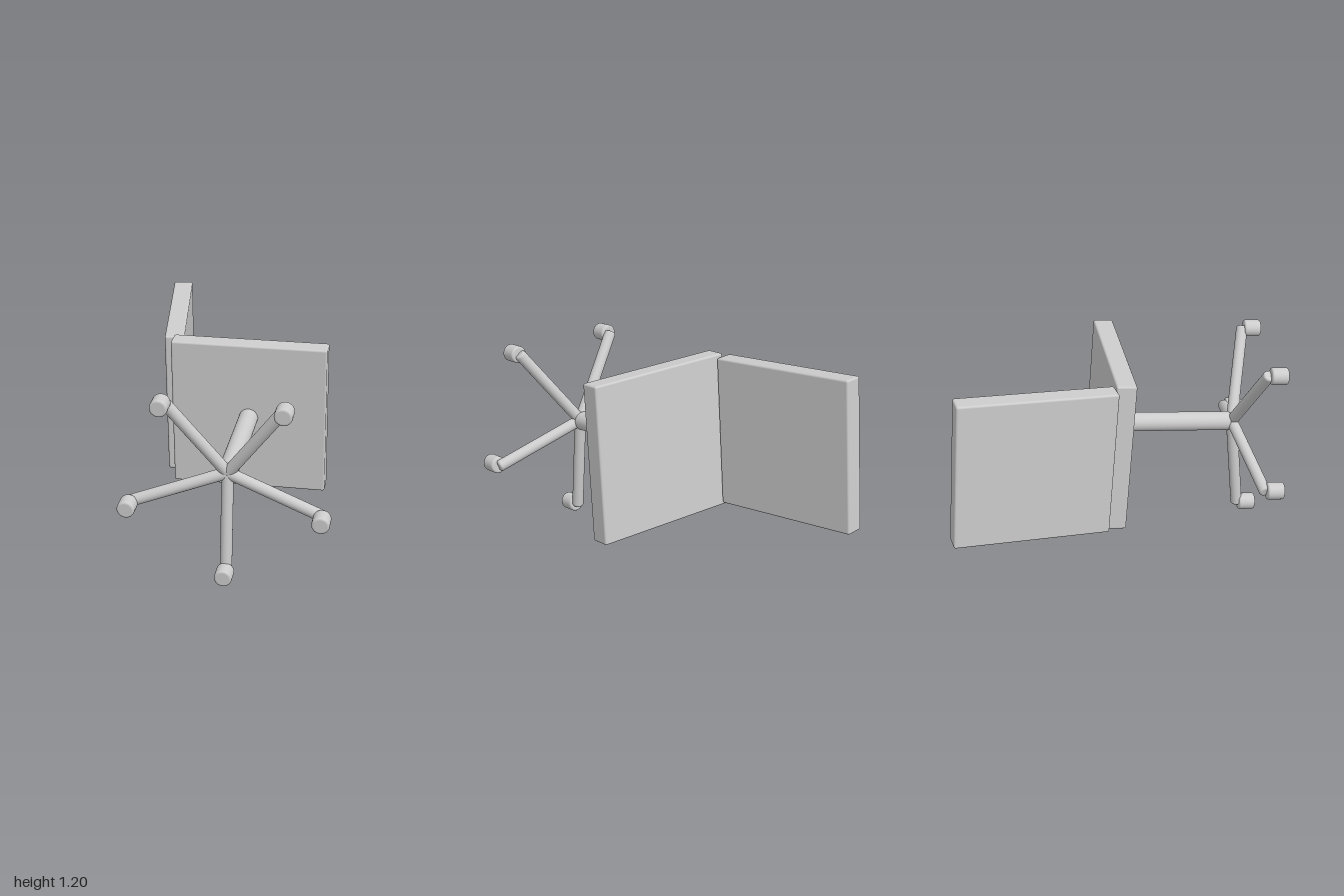
import * as THREE from 'three';
import { RoundedBoxGeometry } from 'three/addons/geometries/RoundedBoxGeometry.js';

const BEVEL = 0.012;
const grey = new THREE.MeshStandardMaterial({ color: 0xcccccc });
grey.name = 'light grey';

function part(name, geometry, parent) {
  const mesh = new THREE.Mesh(geometry, grey);
  mesh.name = name;
  parent.add(mesh);
  return mesh;
}

// Upright cylinder with softly rounded rims
function softCylinder(radius, length) {
  const half = length / 2;
  const points = [new THREE.Vector2(0, -half), new THREE.Vector2(radius - BEVEL - 0.002, -half)];
  for (const side of [-1, 1]) {
    if (side > 0) points.push(new THREE.Vector2(radius, half - BEVEL - 0.002));
    for (let i = 0; i <= 4; i++) {
      const a = (side < 0 ? i - 4 : i) * Math.PI / 8;
      points.push(new THREE.Vector2(
        radius - BEVEL + BEVEL * Math.cos(a),
        side * (half - BEVEL) + BEVEL * Math.sin(a)));
    }
    if (side < 0) points.push(new THREE.Vector2(radius, -half + BEVEL + 0.002));
  }
  points.push(new THREE.Vector2(radius - BEVEL - 0.002, half), new THREE.Vector2(0, half));
  return new THREE.LatheGeometry(points, 32);
}

export function createModel() {
  const model = new THREE.Group();
  model.name = 'officeChair';

  // Chair is built upright, with the middle of the seat underside at its origin
  const chair = new THREE.Group();
  chair.name = 'tippedChair';
  model.add(chair);

  // Seat and reclined backrest
  part('seat', new RoundedBoxGeometry(0.915, 0.115, 0.915, 3, BEVEL), chair)
    .position.set(0, 0.0575, 0);
  const back = part('backrest', new RoundedBoxGeometry(0.88, 0.9, 0.115, 3, BEVEL), chair);
  back.position.set(0, 0.56, -0.525);
  back.rotation.x = -0.147;

  // Central column
  part('column', softCylinder(0.056, 0.7), chair).position.y = -0.32;

  // Five legs with casters
  const legStart = new THREE.Vector3(0, -0.685, 0);
  const legEnd = new THREE.Vector3(0.575, -0.777, 0);
  const legAxis = legEnd.clone().sub(legStart);
  const legGeometry = softCylinder(0.034, legAxis.length());
  const casterGeometry = softCylinder(0.05, 0.1);
  for (let i = 0; i < 5; i++) {
    const arm = new THREE.Group();
    arm.name = 'legWithCaster';
    arm.rotation.y = -i * Math.PI * 2 / 5;
    chair.add(arm);
    const leg = part('leg', legGeometry, arm);
    leg.position.addVectors(legStart, legEnd).multiplyScalar(0.5);
    leg.quaternion.setFromUnitVectors(new THREE.Vector3(0, 1, 0), legAxis.clone().normalize());
    part('caster', casterGeometry, arm).position.set(0.565, -0.835, 0);
  }

  // Tip the chair onto its side
  const tilt = 0.08, c = Math.cos(tilt), s = Math.sin(tilt), k = Math.sqrt(3) / 2;
  chair.quaternion.setFromRotationMatrix(new THREE.Matrix4().makeBasis(
    new THREE.Vector3(k * s, -c, -0.5 * s),
    new THREE.Vector3(k * c, s, -0.5 * c),
    new THREE.Vector3(0.5, 0, k)));
  chair.position.set(0.195, 0.687, 0.065);

  // Rest on the ground, centred
  model.updateMatrixWorld(true);
  const box = new THREE.Box3().setFromObject(model, true);
  const middle = box.getCenter(new THREE.Vector3());
  chair.position.sub(new THREE.Vector3(middle.x, box.min.y, middle.z));
  return model;
}
